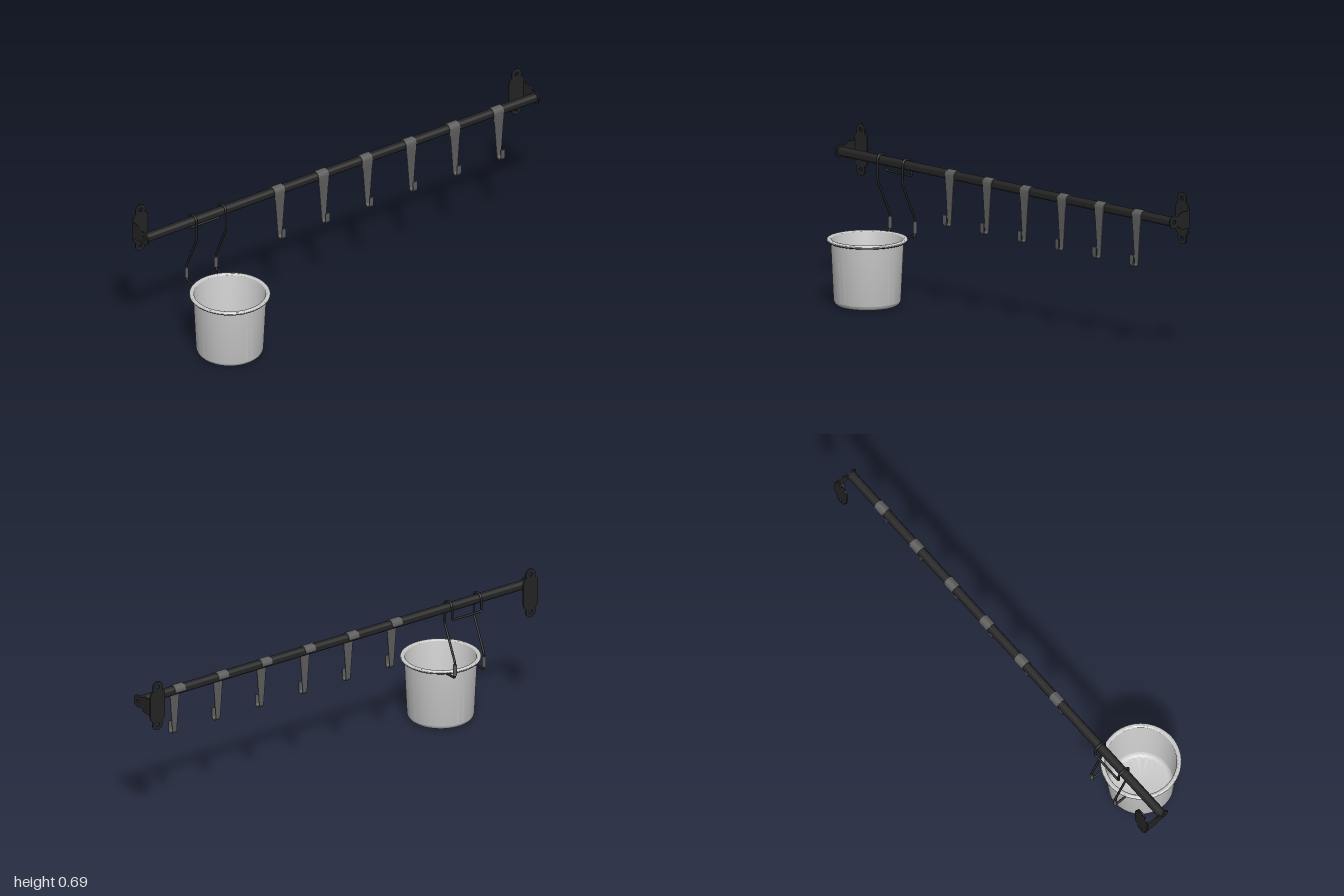
import * as THREE from 'three';
import { toCreasedNormals } from 'three/addons/utils/BufferGeometryUtils.js';

const RAIL_Y = 0.582, RAIL_Z = -0.12;

const mat = (name, color) => Object.assign(new THREE.MeshStandardMaterial({ color }), { name });
const black = mat('black metal', 0x242424);
const grey = mat('grey plastic', 0x5c5c5c);
const silver = mat('light steel', 0xc8c8c8);

function part(name, geometry, material, x = 0, y = 0, z = 0) {
  const mesh = new THREE.Mesh(geometry, material);
  mesh.name = name;
  mesh.position.set(x, y, z);
  return mesh;
}

const arc = (cx, cy, r, from, to, n) => Array.from({ length: n + 1 }, (_, i) => {
  const a = THREE.MathUtils.degToRad(from + (to - from) * i / n);
  return new THREE.Vector2(cx + r * Math.cos(a), cy + r * Math.sin(a));
});
const v2 = (x, y) => new THREE.Vector2(x, y);
const hole = (x, y, r) => new THREE.Path().absarc(x, y, r, 0, Math.PI * 2, true);

// Centred extrusion; side = true turns the outline's x axis to world z
function slab(points, holes, depth, side) {
  const shape = new THREE.Shape(points);
  shape.holes.push(...holes);
  const g = new THREE.ExtrudeGeometry(shape, { depth, bevelEnabled: false, curveSegments: 16 });
  g.translate(0, 0, -depth / 2);
  return side ? g.rotateY(-Math.PI / 2) : g;
}

// Tube along straight runs joined by rounded corners; corner = [x, y, z, radius]
function wire(corners, radius) {
  const path = new THREE.CurvePath();
  const p = corners.map(c => new THREE.Vector3(c[0], c[1], c[2]));
  let last = p[0];
  for (let i = 1; i < p.length - 1; i++) {
    const toPrev = p[i - 1].clone().sub(p[i]).normalize();
    const toNext = p[i + 1].clone().sub(p[i]).normalize();
    const cut = corners[i][3] * Math.tan((Math.PI - toPrev.angleTo(toNext)) / 2);
    const a = p[i].clone().addScaledVector(toPrev, cut);
    const b = p[i].clone().addScaledVector(toNext, cut);
    if (a.distanceTo(last) > 1e-4) path.add(new THREE.LineCurve3(last, a));
    path.add(new THREE.QuadraticBezierCurve3(a, p[i], b));
    last = b;
  }
  path.add(new THREE.LineCurve3(last, p[p.length - 1]));
  return new THREE.TubeGeometry(path, 260, radius, 10);
}

// Wall plate with two screw lobes, and the side plate that carries the rail
function makeBracket(sign) {
  const bracket = new THREE.Group();
  bracket.name = sign > 0 ? 'leftBracket' : 'rightBracket';
  const quarter = [v2(0.038, 0.048), v2(0.034, 0.062), v2(0.023, 0.07)];
  const right = [...quarter, ...arc(0, 0.0855, 0.025, -20, 90, 10)];
  const top = [...right, ...right.slice(0, -1).reverse().map(p => v2(-p.x, p.y))];
  const outline = [...top, ...top.map(p => v2(-p.x, -p.y))];
  bracket.add(part('wallPlate', slab(outline, [hole(0, 0.0855, 0.009), hole(0, -0.0855, 0.009)], 0.006),
    black, sign * 0.96, RAIL_Y, -0.2045));
  const arm = [v2(-0.084, -0.037), v2(-0.046, -0.037), v2(-0.035, -0.033), v2(-0.026, -0.024),
    ...arc(0, 0, 0.028, -125, 125, 28), v2(-0.026, 0.024), v2(-0.035, 0.033), v2(-0.046, 0.037), v2(-0.084, 0.037)];
  bracket.add(part('sidePlate', slab(arm, [hole(0, 0, 0.008)], 0.006, true),
    black, sign * 0.997, RAIL_Y, RAIL_Z));
  return bracket;
}

// Bent strap hook: wraps the rail, narrows downward and ends in a J
function hookGeometry() {
  const path = [...arc(RAIL_Z, RAIL_Y, 0.0217, 190, 0, 18), v2(-0.0983, 0.56), v2(-0.0983, 0.52),
    v2(-0.0983, 0.47), ...arc(-0.0843, 0.384, 0.014, 180, 360, 12), v2(-0.0703, 0.42)];
  const offset = d => path.map((p, i) => {
    const t = path[Math.min(i + 1, path.length - 1)].clone().sub(path[Math.max(i - 1, 0)]).normalize();
    return v2(p.x - t.y * d, p.y + t.x * d);
  });
  const g = slab([...offset(-0.002), ...offset(0.002).reverse()], [], 1, true);
  const pos = g.attributes.position;
  const steps = [[0.36, 0.021], [0.42, 0.022], [0.47, 0.03], [0.52, 0.039], [0.56, 0.052], [1, 0.053]];
  for (let i = 0; i < pos.count; i++) {
    const y = pos.getY(i);
    const k = steps.findIndex(s => y < s[0]);
    const [a, b] = [steps[k - 1], steps[k]];
    const width = a[1] + (b[1] - a[1]) * (y - a[0]) / (b[0] - a[0]);
    pos.setX(i, pos.getX(i) * width);
  }
  return toCreasedNormals(g, 0.6);
}

// Pot with rounded foot and rolled lip
function makePot() {
  const pot = new THREE.Group();
  pot.name = 'hangingPot';
  pot.position.set(-0.674, 0, 0.038);
  const profile = [v2(0, 0), ...arc(0.113, 0.028, 0.028, -90, -3, 8), v2(0.153, 0.274), v2(0.166, 0.274),
    ...arc(0.163, 0.279, 0.006, -30, 90, 6), ...arc(0.157, 0.277, 0.008, 90, 180, 5),
    ...arc(0.112, 0.03, 0.024, -3, -90, 8), v2(0, 0.006)];
  pot.add(part('potBody', toCreasedNormals(new THREE.LatheGeometry(profile, 72), 0.7), silver));

  // Support ring under the lip
  const ring = new THREE.TorusGeometry(0.16, 0.005, 10, 72).rotateX(Math.PI / 2);
  pot.add(part('supportRing', ring, black, 0, 0.274, 0));

  // One continuous wire: ring, up over the rail, crossbar, and back down
  const dz = -0.038;
  const half = [[0.274, -0.1, 0], [0.274, -0.167, 0.012], [0.345, -0.167, 0.03], [0.5, -0.095, 0.04],
    [0.608, -0.0945, 0.026], [0.608, -0.1475, 0.026], [0.533, -0.1475, 0.01]];
  const run = s => half.map(([y, z, r]) => [s * 0.075, y, z + dz, r]);
  pot.add(part('hangerWire', wire([...run(1), ...run(-1).reverse()], 0.005), black));
  for (const s of [-1, 1])
    pot.add(part('wireSleeve', new THREE.CylinderGeometry(0.008, 0.008, 0.048, 16), grey, s * 0.075, 0.311, -0.167 + dz));
  return pot;
}

export function createModel() {
  const model = new THREE.Group();
  model.name = 'wallRail';

  // Hollow rail
  const tube = [v2(0.02, -0.996), v2(0.02, 0.996), v2(0.014, 0.996), v2(0.014, -0.996), v2(0.02, -0.996)];
  const rail = toCreasedNormals(new THREE.LatheGeometry(tube, 32), 0.6).rotateZ(Math.PI / 2);
  model.add(part('rail', rail, black, 0, RAIL_Y, RAIL_Z));

  model.add(makeBracket(-1), makeBracket(1));

  // Six evenly spaced hooks
  const hook = hookGeometry();
  for (let i = 0; i < 6; i++) model.add(part('hook', hook, grey, -0.322 + i * 0.2235));

  model.add(makePot());
  return model;
}
